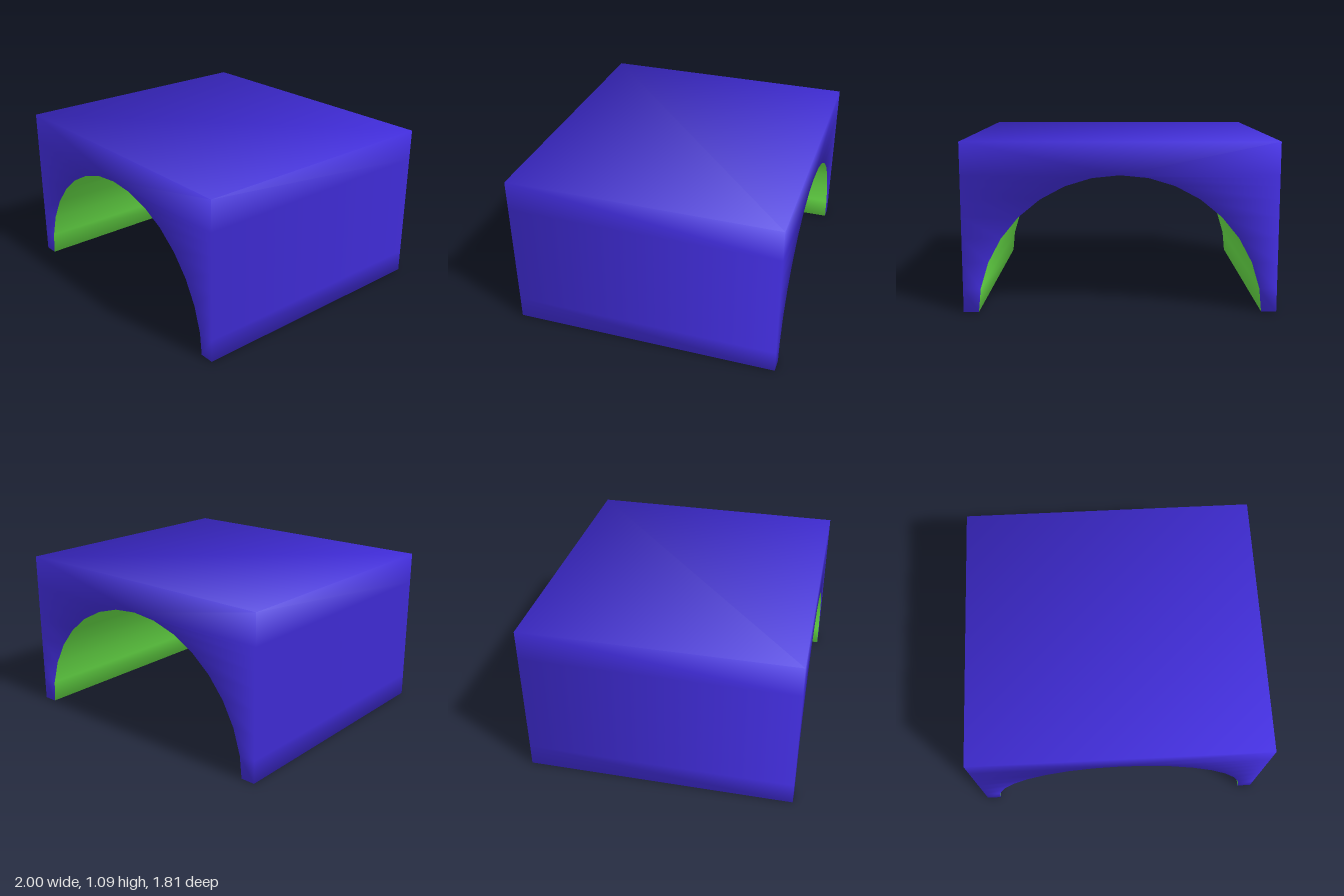
import * as THREE from 'three';

const HALF_X = 1, HALF_Z = 0.905, TOP = 1.09;
const RADIUS = 0.905, CENTRE_Y = -0.025, STEPS = 8; // arch: half of a 32-sided circle

// Closed counter-clockwise cross-section: right side, top, left side, then the arch
function makeProfile() {
  const arch = [];
  for (let i = 0; i <= STEPS; i++) {
    const a = (i / STEPS) * Math.PI / 2;
    arch.push([RADIUS * Math.cos(a), CENTRE_Y + RADIUS * Math.sin(a)]);
  }
  arch[0] = [0.9025, 0]; // foot cut level with the ground
  const right = arch.map(([, y]) => [HALF_X, y]);
  const left = arch.map(([, y]) => [-HALF_X, y]).reverse();
  const archLeft = arch.map(([x, y]) => [-x, y]);
  const archRight = arch.slice(0, STEPS).reverse();
  return [...right, [HALF_X, TOP], [-HALF_X, TOP], ...left, ...archLeft, ...archRight];
}

export function createModel() {
  const profile = makeProfile();
  const n = profile.length;

  // Each profile point gives a front and a back vertex with normals blended over the edges
  const edgeNormal = profile.map(([x, y], k) => {
    const [u, v] = profile[(k + 1) % n];
    return new THREE.Vector2(v - y, x - u).normalize();
  });
  const positions = [], normals = [];
  profile.forEach(([x, y], k) => {
    const m = edgeNormal[k].clone().add(edgeNormal[(k + n - 1) % n]);
    // perpendicular edges sum to (1, 1), flat runs to (1, 0)
    m.divideScalar(Math.max(Math.abs(m.x), Math.abs(m.y)));
    for (const s of [1, -1]) {
      positions.push(x, y, s * HALF_Z);
      normals.push(...new THREE.Vector3(m.x, m.y, s).normalize().toArray());
    }
  });
  const position = new THREE.Float32BufferAttribute(positions, 3);
  const normal = new THREE.Float32BufferAttribute(normals, 3);

  // Walls between front and back outlines; the tunnel part starts at the left foot
  const shell = [], tunnel = [];
  const firstTunnel = 2 * STEPS + 3;
  for (let k = 0; k < n; k++) {
    const f = 2 * k, g = 2 * ((k + 1) % n);
    (k < firstTunnel ? shell : tunnel).push(f, f + 1, g, g, f + 1, g + 1);
  }

  // Front and back faces
  const endTriangle = (a, b, c) => shell.push(2 * a, 2 * b, 2 * c, 2 * a + 1, 2 * c + 1, 2 * b + 1);
  const endQuad = (a, b, c, d) => { endTriangle(a, b, c); endTriangle(a, c, d); };
  for (let i = 0; i < STEPS; i++) {
    endQuad(n - 1 - i, i, i + 1, n - 2 - i);
    const l = firstTunnel - i, a = firstTunnel + 1 + i;
    endQuad(l, a, a + 1, l - 1);
  }
  const apex = firstTunnel + 1 + STEPS;
  for (let k = STEPS; k < STEPS + 3; k++) endTriangle(apex, k, k + 1);

  const group = new THREE.Group();
  group.name = 'archBlock';
  const addPart = (name, index, color) => {
    const geometry = new THREE.BufferGeometry();
    geometry.setAttribute('position', position);
    geometry.setAttribute('normal', normal);
    geometry.setIndex(index);
    const mesh = new THREE.Mesh(geometry, new THREE.MeshStandardMaterial({ color }));
    mesh.name = name;
    group.add(mesh);
  };
  addPart('outerBlock', shell, 0x432ee0);
  addPart('archTunnel', tunnel, 0x68e048); // includes the undersides of the feet
  return group;
}
